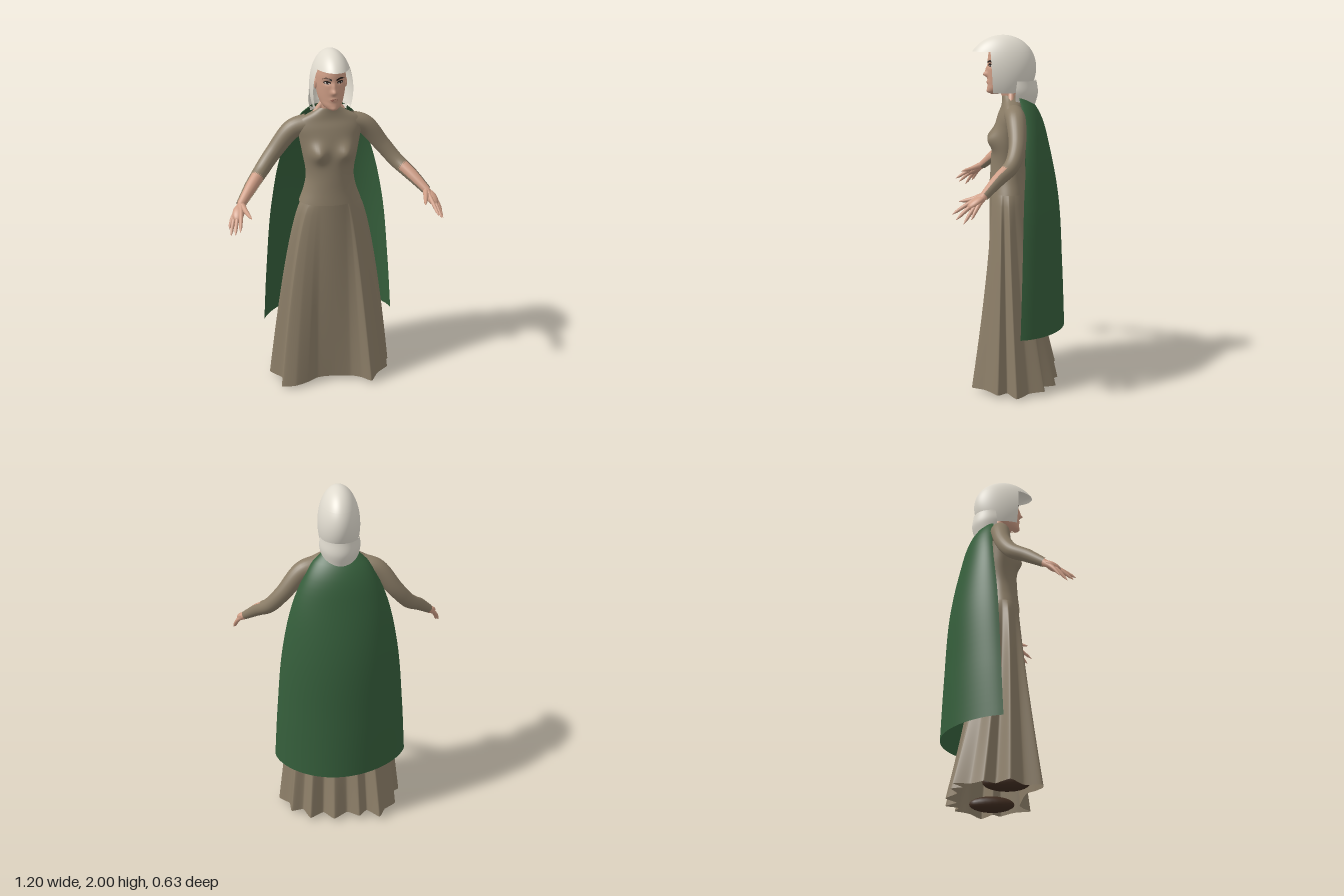
import * as THREE from 'three';

const mat = (name, color, side = THREE.FrontSide) => {
  const m = new THREE.MeshStandardMaterial({ color, side });
  m.name = name;
  return m;
};
const { sin, cos, PI, sqrt, exp, max } = Math;
const V = (x, y, z) => new THREE.Vector3(x, y, z);

// Smooth lookup through rows [y, ...values], listed from bottom to top
function profile(rows) {
  const size = rows[0].length - 1;
  const cubic = new THREE.CubicInterpolant(rows.map(r => r[0]), rows.flatMap(r => r.slice(1)), size, new Float64Array(size));
  return y => Array.from(cubic.evaluate(y));
}

// Grid surface: u runs round the body from front to its left, v runs downwards
function surface(nu, nv, point, closed) {
  const pos = [], index = [], cols = closed ? nu : nu + 1;
  for (let j = 0; j <= nv; j++)
    for (let i = 0; i < cols; i++) pos.push(...point(i / nu, j / nv));
  for (let j = 0; j < nv; j++)
    for (let i = 0; i < nu; i++) {
      const a = j * cols + i, b = j * cols + (i + 1) % cols, c = a + cols, d = b + cols;
      index.push(a, c, b, b, c, d);
    }
  const g = new THREE.BufferGeometry();
  g.setAttribute('position', new THREE.Float32BufferAttribute(pos, 3));
  g.setIndex(index);
  g.computeVertexNormals();
  return g;
}

// Tube whose radius follows a list of values along its path
function taperTube(points, radii, segs = 16, sides = 12) {
  const curve = new THREE.CatmullRomCurve3(points);
  const g = new THREE.TubeGeometry(curve, segs, 1, sides);
  const p = g.attributes.position, v = V(0, 0, 0);
  for (let i = 0; i < p.count; i++) {
    const t = Math.floor(i / (sides + 1)) / segs, k = t * (radii.length - 1);
    const n = Math.min(Math.floor(k), radii.length - 2);
    const r = THREE.MathUtils.lerp(radii[n], radii[n + 1], k - n);
    const c = curve.getPointAt(t);
    v.fromBufferAttribute(p, i).sub(c).multiplyScalar(r).add(c);
    p.setXYZ(i, v.x, v.y, v.z);
  }
  return g;
}

// Head: half width, middle z, front z, back z
const headRows = profile([
  [1.672, .006, .085, .095, .07], [1.682, .03, .07, .117, .03], [1.70, .052, .05, .123, -.01],
  [1.73, .067, .03, .121, -.05], [1.78, .078, .02, .121, -.08], [1.83, .083, .015, .12, -.09],
  [1.88, .08, .015, .118, -.09], [1.93, .062, .02, .1, -.07], [1.965, .01, .02, .03, .01]]);
const bump = (x, y, cx, cy, sx, sy) => exp(-(((x - cx) / sx) ** 2) - ((y - cy) / sy) ** 2);
const features = (x, y) => .022 * bump(x, y, 0, 1.782, .014, .014) + .012 * bump(x, y, 0, 1.808, .01, .024)
  + .006 * bump(x, y, 0, 1.74, .022, .011) + .005 * bump(x, y, 0, 1.69, .02, .012)
  - .008 * (bump(x, y, .034, 1.835, .018, .012) + bump(x, y, -.034, 1.835, .018, .012));
function faceZ(x, y) {
  const [w, mid, front] = headRows(y);
  return mid + (front - mid) * sqrt(max(0, 1 - (x / w) ** 2)) + features(x, y);
}

// Bodice: half width, front z, back z
const bodiceRows = profile([
  [1.125, .177, .117, -.102], [1.2, .15, .11, -.095], [1.28, .136, .105, -.09], [1.42, .157, .095, -.095],
  [1.5, .172, .08, -.09], [1.56, .182, .063, -.085], [1.605, .165, .045, -.08], [1.64, .1, .04, -.07], [1.668, .06, .04, -.055]]);

// Cape and nape hair: half width, edge z, back z
const capeRows = profile([
  [.355, .385, -.05, -.317], [.7, .362, -.06, -.303], [1.1, .322, -.07, -.278], [1.4, .255, -.083, -.222],
  [1.55, .19, -.075, -.18], [1.62, .145, -.06, -.14], [1.66, .1, -.05, -.1]]);
const napeRows = profile([[1.61, .1, -.03, -.142], [1.68, .111, -.033, -.16], [1.75, .106, -.04, -.152]]);
// Back half of a ring of rows; skew moves the middle towards +x, pinch narrows it, lift raises the front hem
const backHalf = (rows, y0, y1, { skew = 0, pinch = 0, lift = 0 }) => surface(48, 32, (u, v) => {
  const a = PI / 2 + u * PI, y = y1 + (y0 - y1) * v, [w, edge, back] = rows(y);
  return [w * (sin(a) + pinch * v * sin(2 * a)) - skew * v * cos(a), y + lift * v * (1 + cos(a)), edge + (edge - back) * cos(a)];
});

// Folded outline of the skirt hem, x and z
const hem = new THREE.CatmullRomCurve3([
  [0, .13], [.1, .135], [.16, .17], [.21, .22], [.26, .15], [.34, .075], [.29, .02], [.37, -.03], [.31, -.1],
  [.3, -.19], [.23, -.18], [.19, -.26], [.11, -.21], [.05, -.28], [-.03, -.23], [-.1, -.275], [-.15, -.22],
  [-.22, -.285], [-.26, -.2], [-.33, -.14], [-.28, -.07], [-.365, -.01], [-.3, .07], [-.32, .165], [-.24, .185],
  [-.16, .165], [-.1, .135]].map(([x, z]) => V(x, 0, z)), true, 'catmullrom', .25);

// Hair shell point: th from the crown down, a round the head
const hairPoint = (th, a) => [.115 * sin(th) * sin(a), 1.79 + .21 * cos(th),
  .035 + (cos(a) > 0 ? .207 * sin(th) : .185 * sin(th * 1.1)) * cos(a)];

export function createModel() {
  const root = new THREE.Group();
  root.name = 'cloakedWoman';
  const dress = mat('dress brown', 0x8b7d67, THREE.DoubleSide);
  const green = mat('cape green', 0x355e3b, THREE.DoubleSide);
  const hair = mat('pale hair', 0xe0dbcf, THREE.DoubleSide);
  const skin = mat('skin', 0xcf9e86);
  const dark = mat('dark eyes and brows', 0x2b211d);
  const white = mat('eye white', 0xd8cfc6);
  const lip = mat('lips', 0xa9705f);
  const leather = mat('shoe leather', 0x3f2c20);
  const add = (name, geometry, material, parent = root) => {
    const m = new THREE.Mesh(geometry, material);
    m.name = name;
    parent.add(m);
    return m;
  };

  // Head and neck
  add('head', surface(72, 60, (u, v) => {
    const a = u * 2 * PI, y = 1.965 - .293 * v, [w, mid, front, back] = headRows(y), x = w * sin(a), c = cos(a);
    return [x, y, mid + c * (c > 0 ? front - mid : mid - back) + (c > 0 ? features(x, y) * Math.min(1, c * 3) : 0)];
  }, true), skin);
  add('neck', taperTube([V(0, 1.6, -.02), V(0, 1.66, -.008), V(0, 1.74, .02)], [.035, .044, .048, .05], 12, 24), skin);

  // Painted face details, laid on the face surface
  const plate = (name, outline, material, lift) => {
    const g = new THREE.ShapeGeometry(new THREE.Shape(outline.map(([x, y]) => new THREE.Vector2(x, y))));
    const p = g.attributes.position;
    for (let i = 0; i < p.count; i++) p.setZ(i, faceZ(p.getX(i), p.getY(i)) + lift);
    g.computeVertexNormals();
    add(name, g, material);
  };
  const oval = (cx, cy, rx, ry) => Array.from({ length: 16 }, (_, i) =>
    [cx + rx * cos(i * PI / 8), cy + ry * sin(i * PI / 8)]);
  for (const s of [1, -1]) {
    plate('eyeOutline', oval(s * .036, 1.835, .019, .009), dark, .0015);
    plate('eyeWhite', oval(s * .036, 1.833, .014, .005), white, .003);
    plate('iris', oval(s * .036, 1.8335, .006, .0055), dark, .0045);
    plate('eyebrow', [[.013, 1.845], [.035, 1.852], [.062, 1.851], [.042, 1.864], [.013, 1.855]].map(([x, y]) => [s * x, y]), dark, .003);
    const ear = add('ear', new THREE.SphereGeometry(1, 12, 10), skin);
    ear.scale.set(.008, .03, .018);
    ear.position.set(s * .083, 1.81, .02);
  }
  plate('lips', [[-.024, 1.74], [-.007, 1.747], [0, 1.745], [.007, 1.747], [.024, 1.74], [.01, 1.732], [-.01, 1.732]], lip, .002);

  // Hair: crown with fringe, sides cut away around the face, and nape
  const thFringe = Math.acos(.12 / .21), thEnd = Math.acos(-.105 / .21);
  add('hairCrown', surface(64, 20, (u, v) => hairPoint(.001 + thFringe * v, u * 2 * PI), true), hair);
  add('hairSides', surface(64, 20, (u, v) => {
    const th = thFringe + (thEnd - thFringe) * v, a0 = Math.acos((.07 - .014 * v) / (.207 * sin(th)));
    return hairPoint(th, a0 + u * (2 * PI - 2 * a0));
  }), hair);
  add('napeHair', backHalf(napeRows, 1.61, 1.75, { lift: .03 }), hair);

  // Dress
  add('bodice', surface(72, 50, (u, v) => {
    const a = u * 2 * PI, y = 1.668 - .543 * v, [w, front, back] = bodiceRows(y), x = w * sin(a), c = cos(a);
    const bust = c > 0 ? .04 * (bump(x, y, .078, 1.425, .045, .05) + bump(x, y, -.078, 1.425, .045, .05)) : 0;
    return [x, y, c * (c > 0 ? front : -back) + bust];
  }, true), dress);
  add('skirt', surface(216, 30, (u, v) => {
    const h = hem.getPoint(u), a = Math.atan2(h.x / .36, (h.z + .03) / .25);
    const fx = v ** .65, fz = v ** 1.4;
    return [.162 * sin(a) * (1 - fx) + h.x * fx, 1.14 - v * (1.124 - .012 * cos(a) ** 2 + .006 * sin(5 * a)),
      (.008 + .104 * cos(a)) * (1 - fz) + h.z * fz];
  }, true), dress);
  add('cape', backHalf(capeRows, .355, 1.66, { skew: .03, pinch: .08 }), green);

  for (const s of [1, -1]) {
    const arm = new THREE.Group();
    arm.name = s > 0 ? 'leftArm' : 'rightArm';
    root.add(arm);
    const P = list => list.map(([x, y, z]) => V(s * x, y, z));

    // Bare skin beside the collar
    add('collarSkin', taperTube(P([[.04, 1.69, -.01], [.068, 1.652, -.008], [.09, 1.625, -.005]]), [.014, .018, .012], 8, 10), skin);

    // Sleeve, slit open along the front of the forearm
    const path = P([[.12, 1.57, -.02], [.2, 1.545, -.03], [.31, 1.415, -.032], [.385, 1.325, 0], [.455, 1.262, .075], [.525, 1.19, .15]]);
    const sides = 24, g = taperTube(path, [.058, .053, .046, .042, .037, .026], 40, sides);
    const n = g.attributes.normal, open = V(s * .2, .2, 1).normalize(), kept = [], ix = g.index.array;
    for (let i = 0; i < ix.length; i += 3) {
      const facing = V(0, 0, 0).fromBufferAttribute(n, ix[i]).dot(open);
      if (ix[i] / (sides + 1) < 28 || facing < .25) kept.push(ix[i], ix[i + 1], ix[i + 2]);
    }
    g.setIndex(kept);
    add('sleeve', g, dress, arm);
    add('forearm', taperTube(path.slice(3), [.036, .033, .022], 16, 20), skin, arm);

    // Hand: four fingers fanning from the wrist, thumb and palm
    const wrist = [.522, 1.193, .147];
    const fingers = [
      [[.535, 1.15, .235], [.55, 1.1, .315]], [[.555, 1.137, .225], [.575, 1.075, .295]],
      [[.57, 1.13, .205], [.595, 1.057, .255]], [[.575, 1.135, .185], [.6, 1.08, .215]]];
    for (const [knuckle, tip] of fingers)
      add('finger', taperTube(P([wrist, knuckle, tip]), [.02, .018, .014, .012, .011, .0095, .008, .001], 28, 10), skin, arm);
    add('thumb', taperTube(P([wrist, [.502, 1.17, .215], [.482, 1.155, .28]]), [.018, .018, .014, .012, .009, .001], 20, 10), skin, arm);
    const palm = add('palm', new THREE.SphereGeometry(1, 16, 12), skin, arm);
    palm.scale.set(.033, .022, .055);
    palm.position.set(s * .543, 1.16, .19);
    palm.lookAt(s * .57, 1.1, .28);

    // Shoe under the skirt, both turned the same way
    const shoe = add('shoe', new THREE.SphereGeometry(1, 20, 14), leather);
    shoe.scale.set(.05, .045, .125);
    shoe.position.set(s * .205, .048, 0);
    shoe.rotation.y = -.15;
  }
  return root;
}
